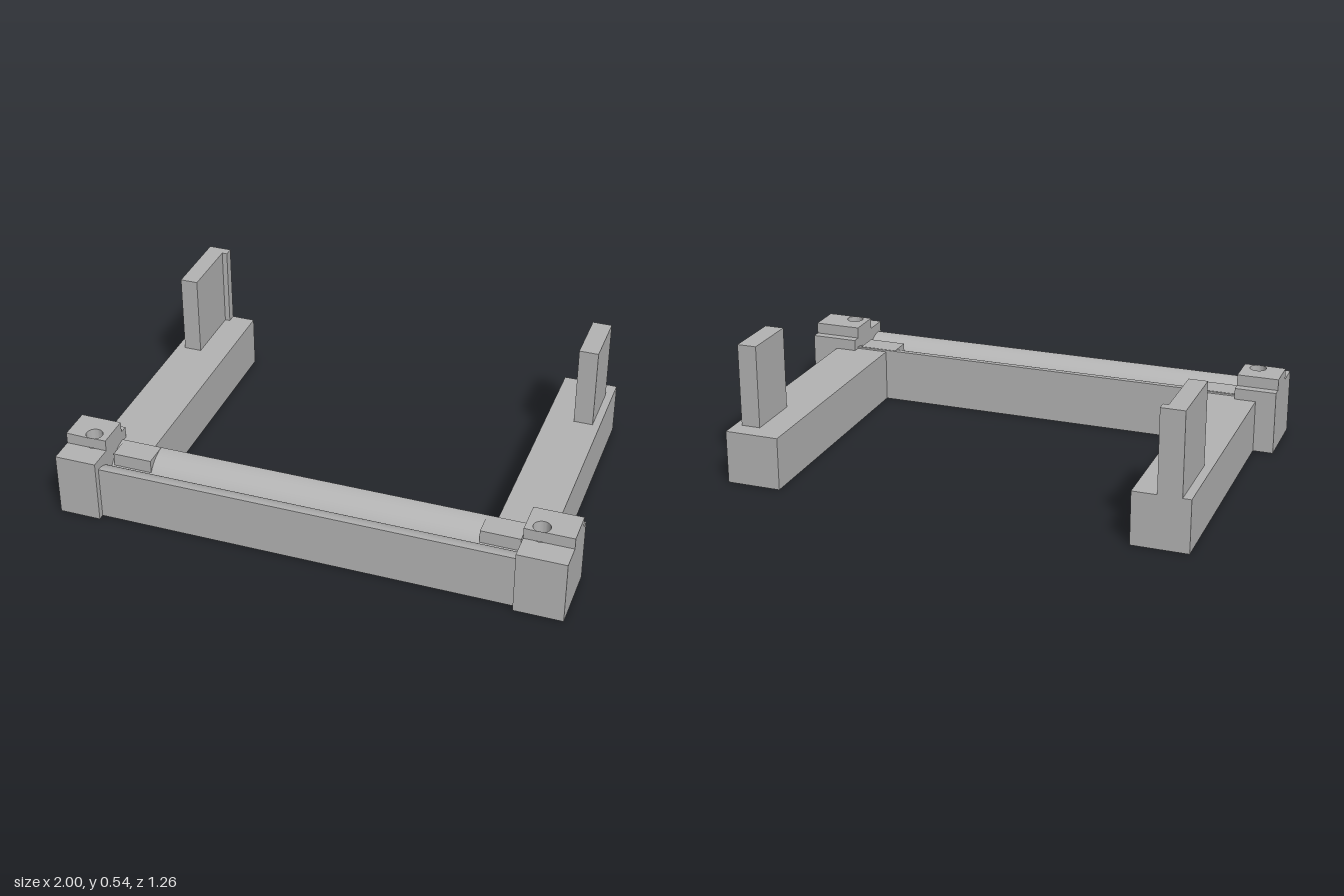
import * as THREE from 'three';
import { toCreasedNormals } from 'three/addons/utils/BufferGeometryUtils.js';

const grey = new THREE.MeshStandardMaterial({ color: 0xb4b4b4 });
grey.name = 'plain grey';

const ARM_TOP = 0.21, BAR_TOP = 0.217;

function add(group, name, geometry) {
  const mesh = new THREE.Mesh(geometry, grey);
  mesh.name = name;
  group.add(mesh);
  return mesh;
}

// Box given by its limits on each axis
function box(group, name, [x0, x1], [y0, y1], [z0, z1]) {
  const mesh = add(group, name, new THREE.BoxGeometry(x1 - x0, y1 - y0, z1 - z0));
  mesh.position.set((x0 + x1) / 2, (y0 + y1) / 2, (z0 + z1) / 2);
}

// Upright slab with a round vertical hole
function drilledSlab(group, name, [x0, x1], [y0, y1], [z0, z1], holeX, holeZ, radius) {
  const shape = new THREE.Shape();
  shape.moveTo(x0, -z1).lineTo(x1, -z1).lineTo(x1, -z0).lineTo(x0, -z0).closePath();
  const hole = new THREE.Path();
  hole.absarc(holeX, -holeZ, radius, 0, Math.PI * 2, true);
  shape.holes.push(hole);
  const g = new THREE.ExtrudeGeometry(shape, { depth: y1 - y0, bevelEnabled: false, curveSegments: 20 });
  g.rotateX(-Math.PI / 2).translate(0, y0, 0);
  add(group, name, toCreasedNormals(g, 0.6));
}

// Cross bar: two rounded shoulders falling into a valley along its top
function crossBar(group, x0, x1) {
  const back = 0.39, valley = 0.5, front = 0.605, steep = Math.PI / 3, n = 12;
  const rBack = (valley - back) / Math.sin(steep);
  const drop = rBack * (1 - Math.cos(steep));
  const shape = new THREE.Shape();
  shape.moveTo(-front, 0).lineTo(-back, 0).lineTo(-back, BAR_TOP);
  for (let i = 1; i <= n; i++) {
    const a = (steep * i) / n;
    shape.lineTo(-(back + rBack * Math.sin(a)), BAR_TOP - rBack * (1 - Math.cos(a)));
  }
  for (let i = n - 1; i >= 0; i--) {
    const a = (steep * i) / n;
    const z = front - (front - valley) * Math.sin(a) / Math.sin(steep);
    shape.lineTo(-z, BAR_TOP - drop * (1 - Math.cos(a)) / (1 - Math.cos(steep)));
  }
  shape.closePath();
  const g = new THREE.ExtrudeGeometry(shape, { depth: x1 - x0, bevelEnabled: false });
  g.rotateY(Math.PI / 2).translate(x0, 0, 0);
  add(group, 'crossBar', toCreasedNormals(g, 0.4));
}

export function createModel() {
  const model = new THREE.Group();
  model.name = 'bracketFrame';

  crossBar(model, -0.835, 0.81);

  const sides = [
    { name: 'right', block: [-1, -0.835], hole: -0.895, arm: [-0.92, -0.70], pad: [-0.825, -0.67] },
    { name: 'left', block: [0.81, 1], hole: 0.87, arm: [0.68, 0.895], pad: [0.64, 0.795] },
  ];
  for (const s of sides) {
    // Corner block: wide bore below, narrow bore above, raised key on top
    const block = new THREE.Group();
    block.name = s.name + 'CornerBlock';
    drilledSlab(block, 'blockBase', s.block, [0, 0.14], [0.36, 0.63], s.hole, 0.5, 0.052);
    drilledSlab(block, 'blockTop', s.block, [0.14, 0.255], [0.36, 0.63], s.hole, 0.5, 0.033);
    drilledSlab(block, 'raisedKey', s.block, [0.255, 0.3], [0.395, 0.53], s.hole, 0.5, 0.033);
    model.add(block);

    // Side arm and the flat pad at the end of the valley
    box(model, s.name + 'Arm', s.arm, [0, ARM_TOP], [-0.63, 0.395]);
    box(model, s.name + 'Pad', s.pad, [0.12, BAR_TOP + 0.001], [0.395, 0.492]);
  }

  // Upright plates; the right one has a lip at its rear edge
  box(model, 'rightUpright', [-0.887, -0.816], [ARM_TOP, 0.537], [-0.63, -0.325]);
  box(model, 'rightUprightLip', [-0.816, -0.795], [ARM_TOP, 0.537], [-0.63, -0.592]);
  box(model, 'leftUpright', [0.79, 0.866], [ARM_TOP, 0.537], [-0.555, -0.325]);

  return model;
}
